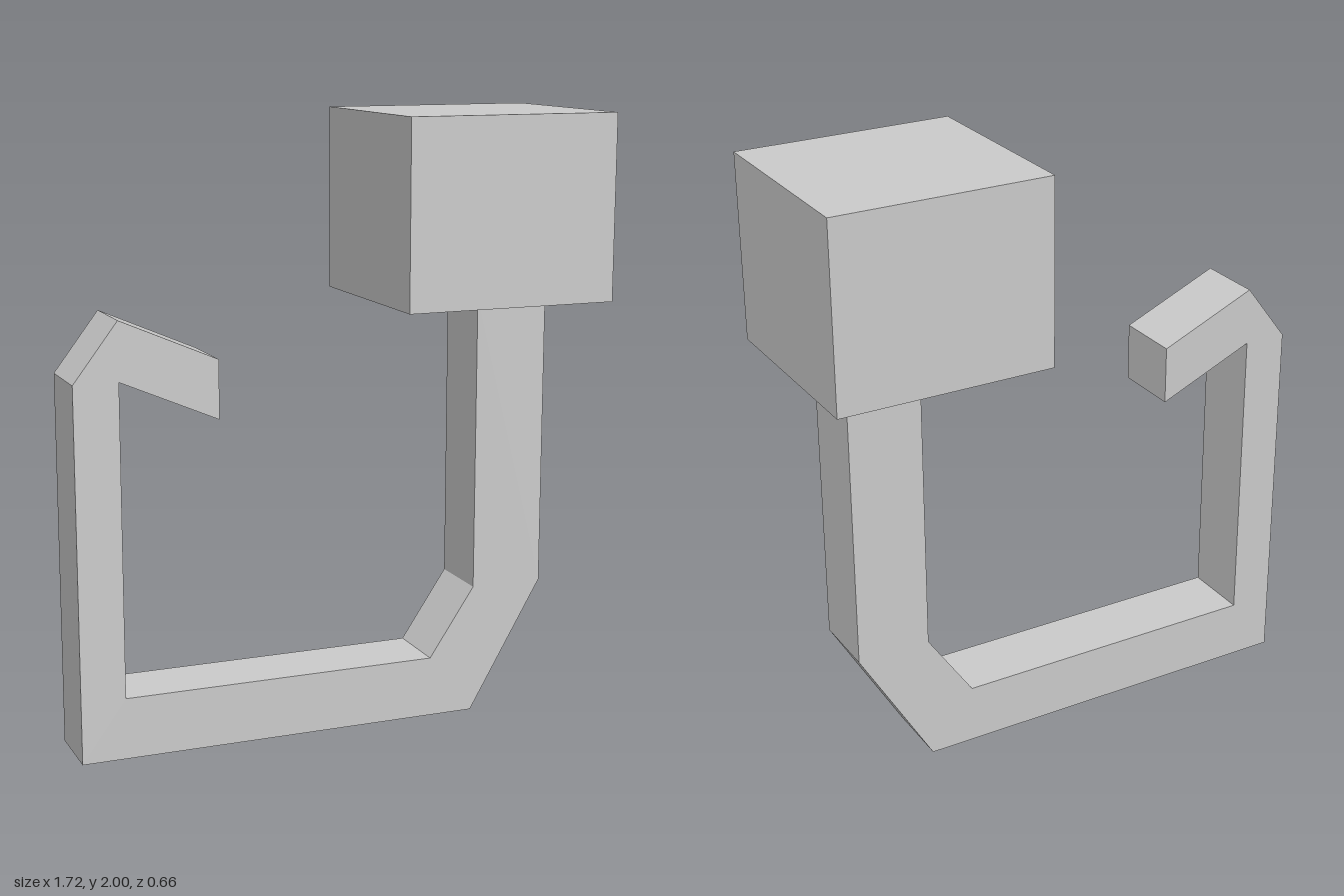
import * as THREE from 'three';

export function createModel() {
  const model = new THREE.Group();
  const material = new THREE.MeshStandardMaterial({ color: 0xcccccc, flatShading: true });

  const add = (name, geometry, x, y, z) => {
    const mesh = new THREE.Mesh(geometry, material);
    mesh.name = name;
    mesh.position.set(x, y, z);
    model.add(mesh);
  };

  // Square-section hook: one outline, anticlockwise, from the stem round to the bent tip
  const outline = [
    [0.49, 1.4], [0.49, 0.43], [0.335, 0.2], [-0.715, 0.2], [-0.715, 1.21], [-0.395, 1.07],
    [-0.395, 1.26], [-0.715, 1.4], [-0.86, 1.21], [-0.86, 0], [0.485, 0], [0.735, 0.43], [0.735, 1.4],
  ].map(([x, y]) => new THREE.Vector2(x, y));
  const depth = 0.226;
  const hook = new THREE.ExtrudeGeometry(new THREE.Shape(outline), { depth, bevelEnabled: false });
  add('hook', hook, 0, 0, -depth / 2 - 0.002);

  // Block on top of the stem
  add('headBlock', new THREE.BoxGeometry(0.71, 0.6, 0.66), 0.505, 1.7, 0);

  return model;
}
